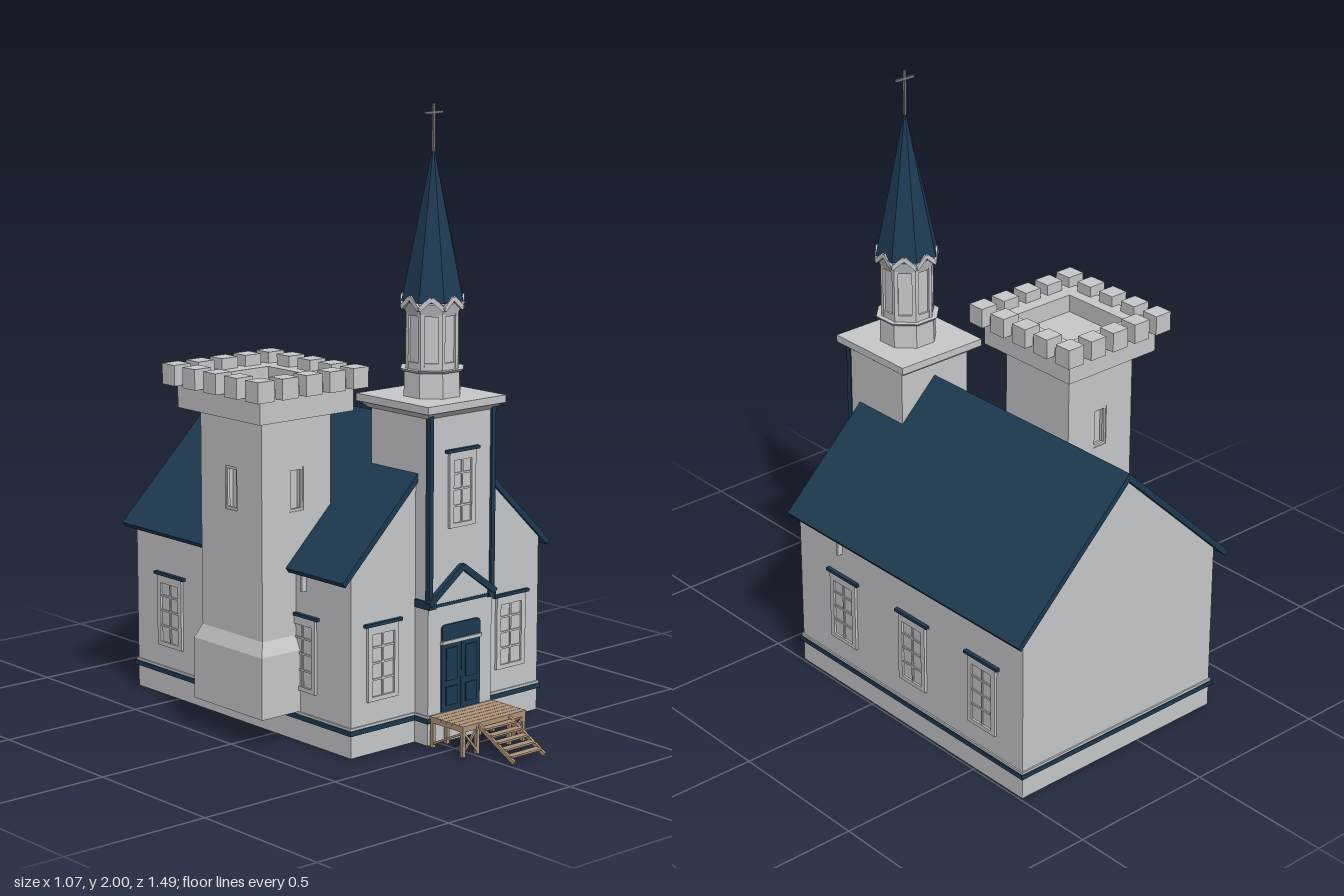
import * as THREE from 'three';

const mat = (name, color) => Object.assign(new THREE.MeshStandardMaterial({ color }), { name });

export function createModel() {
  const stone = mat('pale grey', 0xc7c8ca);
  const blue = mat('slate blue', 0x1d3a51);
  const wood = mat('wood', 0xb0957a);
  const iron = mat('iron grey', 0x777777);
  const root = new THREE.Group();
  root.name = 'church';
  const CX = 0.087; // church axis
  const TZ = 0.29;  // steeple centre

  const add = (parent, name, geo, m, x = 0, y = 0, z = 0) => {
    const mesh = new THREE.Mesh(geo, m);
    mesh.name = name;
    mesh.position.set(x, y, z);
    parent.add(mesh);
    return mesh;
  };
  const group = (name, parent, x = 0, y = 0, z = 0, ry = 0) => {
    const g = new THREE.Group();
    g.name = name;
    g.position.set(x, y, z);
    g.rotation.y = ry;
    parent.add(g);
    return g;
  };
  // box given by its min and max corners
  const span = (parent, name, m, x0, x1, y0, y1, z0, z1) =>
    add(parent, name, new THREE.BoxGeometry(x1 - x0, y1 - y0, z1 - z0), m, (x0 + x1) / 2, (y0 + y1) / 2, (z0 + z1) / 2);
  // beam between two points of the parent's frame
  const beam = (parent, name, m, a, b, t, w = t) => {
    const p = new THREE.Vector3(...a), q = new THREE.Vector3(...b);
    const mesh = add(parent, name, new THREE.BoxGeometry(w, t, p.distanceTo(q)), m);
    mesh.position.copy(p).lerp(q, 0.5);
    mesh.quaternion.setFromRotationMatrix(new THREE.Matrix4().lookAt(q, p, new THREE.Vector3(0, 1, 0)));
  };
  const poly = pts => new THREE.Shape(pts.map(p => new THREE.Vector2(...p)));
  const rectPath = (x0, x1, y0, y1) => poly([[x0, y0], [x1, y0], [x1, y1], [x0, y1]]);
  const extrude = (shape, depth) => new THREE.ExtrudeGeometry(shape, { depth, bevelEnabled: false, curveSegments: 6 });
  // box whose top is scaled
  const frustum = (w, d, h, sx, sz) => {
    const g = new THREE.BoxGeometry(w, h, d), p = g.attributes.position;
    for (let i = 0; i < p.count; i++) if (p.getY(i) > 0) p.setXYZ(i, p.getX(i) * sx, p.getY(i), p.getZ(i) * sz);
    g.computeVertexNormals();
    return g;
  };
  // flat-faced octagon with one face to the front; radii measured to the faces
  const octagon = (top, bottom, h) => {
    const k = Math.cos(Math.PI / 8);
    const g = new THREE.CylinderGeometry(top / k, bottom / k, h, 8).rotateY(Math.PI / 8).toNonIndexed();
    g.computeVertexNormals();
    return g;
  };

  // Hollow foundation following nave and steeple, with a grey floor and a painted band
  const outline = o => poly([[-0.405 - o, 0.72 + o], [-0.405 - o, -0.365 - o], [-0.137 - o, -0.365 - o], [-0.137 - o, -0.425 - o],
    [0.137 + o, -0.425 - o], [0.137 + o, -0.365 - o], [0.405 + o, -0.365 - o], [0.405 + o, 0.72 + o]]);
  const layer = (name, m, o, y0, y1, inner) => {
    const s = outline(o);
    if (inner !== undefined) s.holes.push(outline(inner));
    add(root, name, extrude(s, y1 - y0).rotateX(-Math.PI / 2), m, CX, y0, 0);
  };
  layer('foundation', stone, 0, 0, 0.074, -0.012);
  layer('floor', stone, -0.006, 0.068, 0.09);
  layer('baseBand', blue, 0.008, 0.074, 0.09, -0.004);
  layer('baseLedge', stone, 0.005, 0.09, 0.098);

  // Nave with gabled ends
  const nave = group('nave', root);
  add(nave, 'naveWalls', extrude(poly([[-0.318, 0.08], [0.492, 0.08], [0.492, 0.585], [CX, 0.98], [-0.318, 0.585]]), 1.085), stone, 0, 0, -0.72);
  add(nave, 'roof', extrude(poly([[CX, 1], [CX - 0.447, 0.567], [CX - 0.436, 0.552], [CX, 0.972], [CX + 0.436, 0.552], [CX + 0.447, 0.567]]), 1.12), blue, 0, 0, -0.745);
  for (const s of [-1, 1]) span(nave, 'eaveBracket', stone, CX + s * 0.414 - 0.009, CX + s * 0.414 + 0.009, 0.495, 0.57, 0.145, 0.155);

  // Sash windows
  const sash = (x, y, z, ry, w = 0.128, h = 0.24) => {
    const g = group('window', root, x, y, z, ry);
    span(g, 'pane', stone, -w / 2, w / 2, 0, h, 0, 0.002);
    for (const s of [-1, 1]) span(g, 'frameSide', stone, s * (w / 2 - 0.009) - 0.009, s * (w / 2 - 0.009) + 0.009, 0, h, 0, 0.009);
    for (const [y0, t] of [[0, 0.014], [h - 0.026, 0.026]]) span(g, 'frameRail', stone, -w / 2, w / 2, y0, y0 + t, 0, 0.009);
    for (const f of [0.27, 0.49, 0.7]) span(g, 'glazingBar', stone, -w / 2, w / 2, h * f, h * f + 0.006, 0, 0.006);
    span(g, 'mullion', stone, -0.003, 0.003, 0, h, 0, 0.006);
    span(g, 'lintel', blue, -w / 2 - 0.013, w / 2 + 0.013, h, h + 0.01, 0, 0.013);
  };
  for (const s of [-1, 1]) {
    sash(CX + s * 0.277, 0.17, 0.365, 0);
    for (const z of [0.14, -0.205, -0.537]) sash(CX + s * 0.405, 0.17, z, s * Math.PI / 2);
  }
  sash(CX, 0.69, 0.425, 0, 0.112, 0.24);

  // Steeple tower
  const tower = group('steepleTower', root, CX, 0, 0);
  span(tower, 'towerShaft', stone, -0.137, 0.137, 0.08, 1.06, 0.158, 0.425);
  for (const s of [-1, 1]) {
    span(tower, 'cornerBoard', blue, s * 0.133 - 0.008, s * 0.133 + 0.008, 0.46, 1.06, 0.415, 0.434);
    span(tower, 'beltEnd', blue, s * 0.129 - 0.015, s * 0.129 + 0.015, 0.442, 0.468, 0.37, 0.437);
    beam(tower, 'porchGable', blue, [0, 0.562, 0.432], [s * 0.142, 0.459, 0.432], 0.02, 0.018);
  }
  add(tower, 'pediment', extrude(poly([[-0.13, 0.455], [0.13, 0.455], [0, 0.55]]), 0.006), stone, 0, 0, 0.425);
  span(tower, 'belt', blue, -0.125, 0.125, 0.445, 0.455, 0.42, 0.433);
  add(tower, 'capMoulding', frustum(0.28, 0.28, 0.02, 1.14, 1.14), stone, 0, 1.056, TZ - 0.005);
  span(tower, 'cap', stone, -0.166, 0.166, 1.066, 1.09, 0.118, 0.452);

  // Double door with transom
  const door = group('door', root, CX, 0, 0.425);
  for (const s of [-1, 1]) {
    span(door, 'doorLeaf', blue, s * 0.042 - 0.041, s * 0.042 + 0.041, 0.1, 0.32, 0, 0.006);
    for (const [y0, y1] of [[0.12, 0.18], [0.2, 0.305]]) span(door, 'doorPanel', blue, s * 0.042 - 0.024, s * 0.042 + 0.024, y0, y1, 0.006, 0.01);
  }
  span(door, 'transomRail', stone, -0.085, 0.085, 0.32, 0.331, 0, 0.012);
  const arch = new THREE.Shape();
  arch.moveTo(-0.082, 0.331).lineTo(0.082, 0.331).lineTo(0.082, 0.37)
    .quadraticCurveTo(0.08, 0.382, 0.066, 0.382).lineTo(-0.066, 0.382).quadraticCurveTo(-0.08, 0.382, -0.082, 0.37);
  add(door, 'transom', extrude(arch, 0.007), blue);

  // Octagonal belfry
  const belfry = group('belfry', root, CX, 0, TZ);
  add(belfry, 'belfryBase', octagon(0.086, 0.088, 0.08), stone, 0, 1.13, 0);
  add(belfry, 'belfryRing', octagon(0.098, 0.092, 0.008), stone, 0, 1.174, 0);
  add(belfry, 'belfryCore', octagon(0.074, 0.074, 0.21), stone, 0, 1.28, 0);
  add(belfry, 'belfryHead', octagon(0.092, 0.08, 0.04), stone, 0, 1.366, 0);
  for (let i = 0; i < 8; i++) {
    const face = group('belfryFace', belfry, 0, 0, 0, i * Math.PI / 4);
    for (const s of [-1, 1]) {
      span(face, 'belfryPost', stone, s * 0.028 - 0.006, s * 0.028 + 0.006, 1.178, 1.36, 0.065, 0.082);
      beam(face, 'belfryGable', stone, [0, 1.405, 0.094], [s * 0.04, 1.37, 0.094], 0.014, 0.01);
    }
    span(face, 'belfrySill', stone, -0.034, 0.034, 1.178, 1.2, 0.065, 0.081);
  }

  // Spire and cross
  const spire = group('spire', root, CX, 0, TZ);
  add(spire, 'spireRoof', octagon(0.002, 0.096, 0.475), blue, 0, 1.6275, 0);
  span(spire, 'crossUpright', iron, -0.004, 0.004, 1.85, 2, -0.004, 0.004);
  span(spire, 'crossArm', iron, -0.037, 0.037, 1.968, 1.976, -0.004, 0.004);

  // Battlemented tower: a core clad with slit-windowed walls
  const keep = group('castleTower', root, -0.315, 0, -0.045);
  span(keep, 'keepFoot', stone, -0.16, 0.16, 0.1, 0.3, -0.17, 0.17);
  add(keep, 'keepSlope', frustum(0.32, 0.34, 0.045, 0.875, 0.882), stone, 0, 0.3225, 0);
  span(keep, 'keepCore', stone, -0.11, 0.11, 0.3, 1.05, -0.12, 0.12);
  [[0.28, 0.15], [0.24, 0.14], [0.28, 0.15], [0.24, 0.14]].forEach(([w, dist], i) => {
    const side = group('keepSide', keep, 0, 0, 0, i * Math.PI / 2);
    const shape = rectPath(-w / 2, w / 2, 0.3, 1.05);
    if (i !== 1) {
      shape.holes.push(rectPath(-0.028, 0.028, 0.742, 0.88));
      const frame = rectPath(-0.028, 0.028, 0.742, 0.88);
      frame.holes.push(rectPath(-0.021, 0.021, 0.75, 0.872));
      add(side, 'slitFrame', extrude(frame, 0.01), stone, 0, 0, dist - 0.013);
    }
    add(side, 'keepWall', extrude(shape, 0.03), stone, 0, 0, dist - 0.03);
  });
  span(keep, 'keepFloor', stone, -0.189, 0.189, 1.045, 1.09, -0.203, 0.203);
  const rim = rectPath(-0.189, 0.189, -0.203, 0.203);
  rim.holes.push(rectPath(-0.121, 0.121, -0.131, 0.131));
  add(keep, 'parapet', extrude(rim, 0.06).rotateX(-Math.PI / 2), stone, 0, 1.09, 0);
  for (let i = 0; i < 5; i++) for (let j = 0; j < 5; j++) {
    if (i % 4 && j % 4) continue;
    const x = (i - 2) * 0.0955, z = (j - 2) * 0.103;
    span(keep, 'merlon', stone, x - 0.032, x + 0.032, 1.12, 1.186, z - 0.031, z + 0.031);
  }

  // Wooden porch deck
  const porch = group('porch', root, CX, 0, 0);
  for (let i = 0; i < 6; i++) span(porch, 'deckBoard', wood, -0.137, 0.137, 0.092, 0.1, 0.434 + i * 0.0255, 0.458 + i * 0.0255);
  for (const z of [0.446, 0.578]) span(porch, 'deckBeam', wood, -0.134, 0.134, 0.08, 0.092, z - 0.005, z + 0.005);
  for (const s of [-1, 1]) {
    span(porch, 'deckSide', wood, s * 0.13 - 0.005, s * 0.13 + 0.005, 0.08, 0.092, 0.44, 0.583);
    for (const x of [0.07, 0.13]) for (const z of [0.442, 0.578])
      span(porch, 'deckPost', wood, s * x - 0.006, s * x + 0.006, 0, 0.092, z - 0.006, z + 0.006);
    beam(porch, 'crossBrace', wood, [s * 0.07, 0.008, 0.58], [s * 0.13, 0.08, 0.58], 0.007);
    beam(porch, 'crossBrace', wood, [s * 0.07, 0.08, 0.576], [s * 0.13, 0.008, 0.576], 0.007);
    beam(porch, 'sideBrace', wood, [s * 0.13, 0.075, 0.575], [s * 0.13, 0.012, 0.445], 0.007);
    // stair stringers
    beam(porch, 'stringer', wood, [s * 0.066, 0.09, 0.582], [s * 0.066, 0.006, 0.741], 0.013, 0.008);
  }
  for (let i = 0; i < 5; i++) {
    const z = 0.602 + i * 0.029, y = 0.086 - i * 0.0154;
    span(porch, 'stairTread', wood, -0.066, 0.066, y - 0.006, y, z - 0.013, z + 0.013);
  }
  return root;
}
